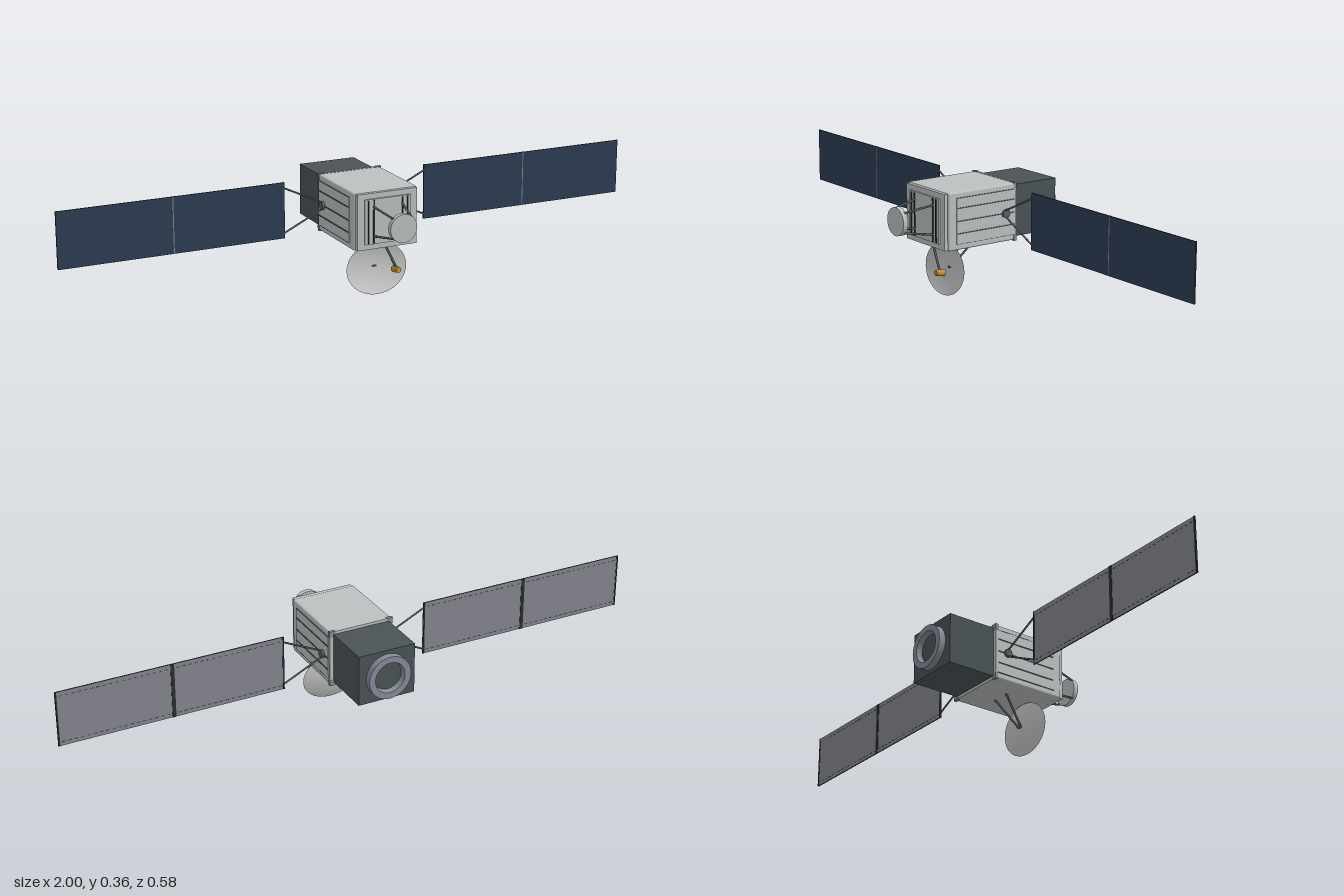
import * as THREE from 'three';
import { RoundedBoxGeometry } from 'three/addons/geometries/RoundedBoxGeometry.js';

export function createModel() {
  const root = new THREE.Group();
  root.name = 'satellite';
  const mat = (name, color, side = THREE.FrontSide) => {
    const m = new THREE.MeshStandardMaterial({ color, side });
    m.name = name;
    return m;
  };
  const shell = mat('pale grey shell', 0xbcc0c0);
  const dishGrey = mat('dish grey', 0xc4c6c6, THREE.DoubleSide);
  const slate = mat('dark slate', 0x4a5356);
  const steel = mat('blue steel', 0x858c98);
  const strut = mat('strut grey', 0x5a5f63);
  const cells = mat('solar blue', 0x2d3c52);
  const backing = mat('panel backing', 0x85878f);
  const black = mat('near black', 0x2a2e31);
  const gold = mat('gold', 0xc28c3c);
  const CY = 0.271;

  const add = (name, geo, m, x = 0, y = 0, z = 0, parent = root) => {
    const mesh = new THREE.Mesh(geo, m);
    mesh.name = name;
    mesh.position.set(x, y, z);
    parent.add(mesh);
    return mesh;
  };
  const box = (name, m, w, h, d, x, y, z, parent) =>
    add(name, new THREE.BoxGeometry(w, h, d), m, x, y, z, parent);

  // Straight round rod, optionally tapered, between two points
  const rod = (name, m, a, b, r0, r1 = r0, sides = 10) => {
    const p = new THREE.Vector3(...a), q = new THREE.Vector3(...b);
    const dir = q.clone().sub(p);
    const mesh = add(name, new THREE.CylinderGeometry(r1, r0, dir.length(), sides), m);
    mesh.position.copy(p).add(q).multiplyScalar(0.5);
    mesh.quaternion.setFromUnitVectors(new THREE.Vector3(0, 1, 0), dir.normalize());
    return mesh;
  };

  // Main body and stepped front plates
  add('body', new RoundedBoxGeometry(0.22, 0.187, 0.263, 2, 0.006), shell, 0, CY, 0.0335);
  box('frontPlate', shell, 0.208, 0.182, 0.014, 0, CY, 0.170);
  box('frontInnerPlate', shell, 0.16, 0.146, 0.006, 0, CY, 0.180);
  for (const s of [-1, 1]) {
    for (const x of [0.05, 0.068]) {
      box('frontRail', black, 0.004, 0.14, 0.004, s * x, CY, 0.184);
    }
  }

  // Rear collar with corner brackets, propulsion block and open ring
  box('rearCollar', shell, 0.222, 0.189, 0.008, 0, CY, -0.094);
  for (const x of [-0.102, 0.102]) {
    for (const y of [-0.086, 0.086]) {
      box('cornerBracket', steel, 0.02, 0.02, 0.01, x, CY + y, -0.094);
    }
  }
  box('rearBlock', slate, 0.196, 0.17, 0.17, 0, CY, -0.182);
  const ringProfile = [[0.073, 0], [0.073, 0.023], [0.052, 0.023], [0.048, 0.004]];
  // Separate lathe bands keep the ring edges crisp
  for (let i = 0; i < 3; i++) {
    const pts = [ringProfile[i], ringProfile[i + 1]].map(p => new THREE.Vector2(...p));
    const ring = add('rearRing', new THREE.LatheGeometry(pts, 40), steel, 0, CY, -0.267);
    ring.rotation.x = -Math.PI / 2;
  }
  const recess = add('ringRecess', new THREE.CircleGeometry(0.05, 32), slate, 0, CY, -0.2705);
  recess.rotation.y = Math.PI;

  // Front disc on four converging struts
  const disc = add('frontDisc', new THREE.CylinderGeometry(0.046, 0.046, 0.017, 32), shell, 0, CY, 0.2825);
  disc.rotation.x = Math.PI / 2;
  for (const x of [-1, 1]) {
    for (const y of [-1, 1]) {
      rod('frontStrut', strut, [x * 0.05, CY + y * 0.048, 0.18], [x * 0.031, CY + y * 0.032, 0.28], 0.0035);
    }
  }

  for (const s of [-1, 1]) {
    // Side access panel with rails
    box('sidePanel', shell, 0.003, 0.148, 0.225, s * 0.1115, CY, 0.0225);
    for (const [y, h] of [[0.042, 0.003], [0, 0.003], [-0.04, 0.003]]) {
      box('sideRail', strut, 0.003, h, 0.22, s * 0.114, CY + y, 0.022);
    }
    for (const y of [-0.074, 0.074]) {
      box('sidePanelEdge', strut, 0.004, 0.0012, 0.225, s * 0.1115, CY + y, 0.0225);
    }

    // Array hinge and forked boom
    const hub = add('arrayHub', new THREE.CylinderGeometry(0.014, 0.014, 0.014, 8), strut, s * 0.115, CY, -0.053);
    hub.rotation.z = Math.PI / 2;
    for (const y of [-1, 1]) {
      rod('arrayBoom', strut, [s * 0.115, CY + y * 0.01, -0.053], [s * 0.252, CY + y * 0.075, -0.053], 0.003);
    }

    // Two solar panels: cells on the front, stitched backing behind
    const wing = new THREE.Group();
    wing.name = s > 0 ? 'leftSolarArray' : 'rightSolarArray';
    root.add(wing);
    for (const x of [0.436, 0.813]) {
      add('solarPanel', new THREE.BoxGeometry(0.374, 0.184, 0.004),
        [black, black, black, black, cells, backing], s * x, CY + 0.001, -0.053, wing);
      for (const y of [-0.078, 0.078]) {
        for (let i = 0; i < 18; i++) {
          box('backStitch', strut, 0.01, 0.0022, 0.001, s * (x - 0.17 + i * 0.02), CY + y, -0.0553, wing);
        }
      }
    }
    for (const x of [0.252, 0.6245, 0.9975]) {
      box('panelEndBar', black, x === 0.6245 ? 0.012 : 0.005, 0.184, 0.002, s * x, CY + 0.001, -0.0555, wing);
    }
    box('panelSeam', backing, 0.003, 0.184, 0.004, s * 0.6245, CY + 0.001, -0.053, wing);
  }

  // Shallow oval dish tilted slightly upward
  const dish = new THREE.Group();
  dish.name = 'dish';
  dish.position.set(0, 0.09, 0.103);
  dish.rotation.x = -0.106;
  root.add(dish);
  const bowl = [];
  for (let i = 0; i <= 10; i++) {
    const t = i / 10;
    bowl.push(new THREE.Vector2(Math.max(t, 0.001), 0.018 * (t * t - 1)));
  }
  const bowlGeo = new THREE.LatheGeometry(bowl, 40);
  bowlGeo.rotateX(Math.PI / 2);
  bowlGeo.scale(0.106, 0.0855, 1);
  add('dishBowl', bowlGeo, dishGrey, 0, 0, 0, dish);
  const boss = add('dishBoss', new THREE.CylinderGeometry(0.004, 0.004, 0.004, 12), strut, 0, 0.004, -0.017, dish);
  boss.rotation.x = Math.PI / 2;

  // Dish supports, feed arm and feed horn
  for (const s of [-1, 1]) {
    rod('dishSupport', strut, [s * 0.03, 0.18, 0.004], [s * 0.005, 0.09, 0.084], 0.0035);
  }
  rod('feedArm', strut, [0.005, 0.18, 0.152], [0.045, 0.098, 0.154], 0.004);
  rod('feedHorn', gold, [0.045, 0.096, 0.17], [0.045, 0.092, 0.138], 0.009, 0.012, 20);

  return root;
}
